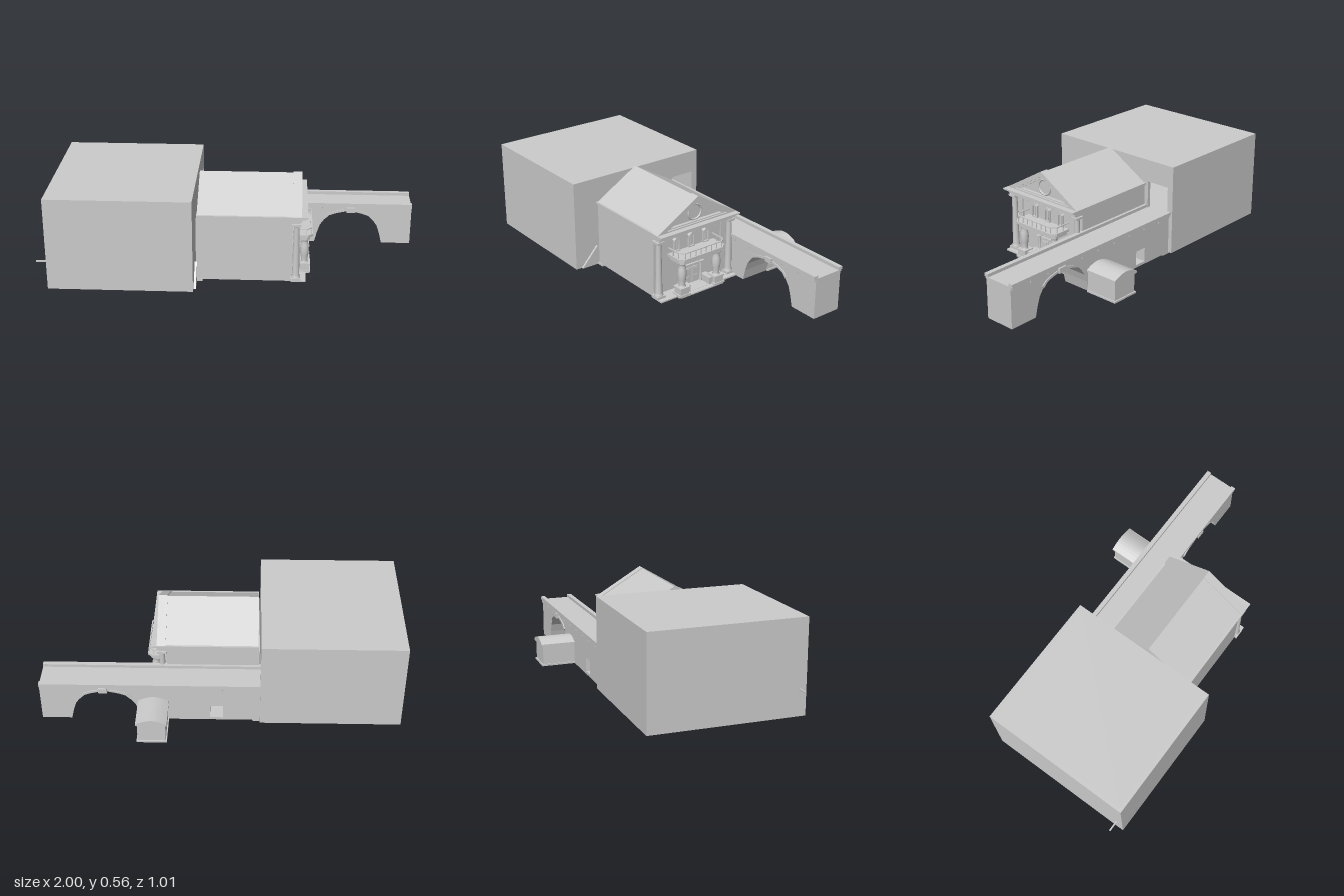
import * as THREE from 'three';

const mat = new THREE.MeshStandardMaterial({ color: 0xcccccc, side: THREE.DoubleSide });
const flat = new THREE.MeshStandardMaterial({ color: 0xcccccc, side: THREE.DoubleSide, flatShading: true });

export function createModel() {
  const model = new THREE.Group();
  const MID = 0.108; // centre line of the temple in z

  function section(name) {
    const g = new THREE.Group();
    g.name = name;
    model.add(g);
    return g;
  }
  function add(parent, name, geo, m = flat) {
    const mesh = new THREE.Mesh(geo, m);
    mesh.name = name;
    parent.add(mesh);
    return mesh;
  }
  // box from its limits along each axis
  function box(parent, name, x0, x1, y0, y1, z0, z1) {
    const g = new THREE.BoxGeometry(x1 - x0, y1 - y0, z1 - z0);
    g.translate((x0 + x1) / 2, (y0 + y1) / 2, (z0 + z1) / 2);
    return add(parent, name, g);
  }
  const toPath = (P, pts, s = 1) => new P(pts.map(([a, b]) => new THREE.Vector2(a * s, b)));
  // [z, y] outline extruded along x
  function prismX(parent, name, pts, x0, x1, holes = []) {
    const s = toPath(THREE.Shape, pts, -1);
    holes.forEach(h => s.holes.push(toPath(THREE.Path, h, -1)));
    const g = new THREE.ExtrudeGeometry(s, { depth: x1 - x0, bevelEnabled: false });
    g.rotateY(Math.PI / 2).translate(x0, 0, 0);
    return add(parent, name, g);
  }
  // [x, y] outline extruded along z
  function prismZ(parent, name, pts, z0, z1, holes = []) {
    const s = toPath(THREE.Shape, pts);
    holes.forEach(h => s.holes.push(toPath(THREE.Path, h)));
    const g = new THREE.ExtrudeGeometry(s, { depth: z1 - z0, bevelEnabled: false });
    g.translate(0, 0, z0);
    return add(parent, name, g);
  }
  // [x, z] outline extruded along y
  function slab(parent, name, pts, y0, y1) {
    const g = new THREE.ExtrudeGeometry(toPath(THREE.Shape, pts), { depth: y1 - y0, bevelEnabled: false });
    g.rotateX(Math.PI / 2).translate(0, y1, 0);
    return add(parent, name, g);
  }
  function lathe(parent, name, profile, x, z) {
    const pts = profile.map(([r, y]) => new THREE.Vector2(r, y));
    add(parent, name, new THREE.LatheGeometry(pts, 20), mat).position.set(x, 0, z);
  }
  const rect = (a0, a1, b0, b1) => [[a0, b0], [a1, b0], [a1, b1], [a0, b1]];

  // Great hall: a hollow block with an opening above the bridge
  const hall = section('hall');
  box(hall, 'hallLeftWall', -0.94, -0.92, 0.03, 0.535, -0.335, 0.503);
  box(hall, 'hallFrontWall', -0.92, -0.2, 0.03, 0.535, 0.483, 0.503);
  box(hall, 'hallBackWall', -0.92, -0.2, 0.03, 0.535, -0.335, -0.315);
  box(hall, 'hallRoof', -0.92, -0.2, 0.52, 0.535, -0.315, 0.483);
  box(hall, 'hallFloor', -0.92, -0.2, 0.03, 0.04, -0.315, 0.483);
  prismX(hall, 'hallTempleWall', rect(-0.335, 0.503, 0.03, 0.535), -0.2, -0.18,
    [rect(-0.3, -0.16, 0.255, 0.41)]);
  box(hall, 'floorPanel', -0.91, -0.14, 0.02, 0.031, -0.31, 0.36);
  box(hall, 'wallRod', -1, -0.94, 0.167, 0.175, 0.461, 0.469);
  prismX(hall, 'cornerWedge', [[0.37, 0.03], [0.47, 0.03], [0.37, 0.14]], -0.18, -0.168);
  for (const z of [0.258, 0.158, 0.055]) box(hall, 'footBlock', -0.195, -0.172, 0, 0.035, z - 0.032, z + 0.032);

  // Temple body, entablature and roof
  const temple = section('temple');
  box(temple, 'templeBody', -0.175, 0.325, 0.03, 0.37, -0.14, 0.355);
  box(temple, 'porchFloor', 0.325, 0.405, 0.03, 0.038, -0.15, 0.366);
  const layers = [[0.36, 0.37, 0.37, 0.245], [0.37, 0.388, 0.38, 0.25], [0.388, 0.395, 0.4, 0.258], [0.395, 0.403, 0.41, 0.262]];
  for (const [y0, y1, x, h] of layers) box(temple, 'entablature', -0.17, x, y0, y1, MID - h, MID + h);
  prismX(temple, 'roof', [[MID - 0.255, 0.4], [MID + 0.255, 0.4], [MID, 0.55]], -0.168, 0.35);
  const tri = (w, y0, y1) => [[MID - w, y0], [MID + w, y0], [MID, y1]];
  prismX(temple, 'pedimentFrame', tri(0.26, 0.402, 0.556), 0.33, 0.378, [tri(0.2, 0.41, 0.527)]);
  prismX(temple, 'pedimentMoulding', tri(0.225, 0.404, 0.537), 0.345, 0.368, [tri(0.17, 0.415, 0.515)]);
  const ring = add(temple, 'roundWindow', new THREE.TorusGeometry(0.042, 0.006, 8, 32), mat);
  ring.rotation.y = Math.PI / 2;
  ring.position.set(0.352, 0.46, MID);
  for (let i = 0; i < 7; i++) box(temple, 'soffitDrop', 0.355, 0.365, 0.352, 0.361, -0.094 + i * 0.0655, -0.086 + i * 0.0655);

  // Corner columns with pilasters behind
  for (const side of [-1, 1]) {
    const z = MID + side * 0.235;
    box(temple, 'columnPlinth', 0.325, 0.378, 0.035, 0.05, z - 0.026, z + 0.026);
    lathe(temple, 'cornerColumn', [[0.024, 0.05], [0.024, 0.057], [0.019, 0.065], [0.018, 0.15], [0.015, 0.34], [0.021, 0.35]], 0.352, z);
    box(temple, 'columnCapital', 0.325, 0.376, 0.348, 0.36, z - 0.022, z + 0.022);
    box(temple, 'pilaster', 0.32, 0.332, 0.038, 0.36, z - side * 0.028 - 0.011, z - side * 0.028 + 0.011);
  }

  // Balcony on swelling columns
  const porch = section('balconyPorch');
  const PZ = 0.111;
  const plan = (x, h, c) => [[0.32, PZ - h], [x - c, PZ - h], [x, PZ - h + c], [x, PZ + h - c], [x - c, PZ + h], [0.32, PZ + h]];
  slab(porch, 'balconyBeam', plan(0.425, 0.138, 0.015), 0.218, 0.24);
  slab(porch, 'balconyDeck', plan(0.44, 0.153, 0.025), 0.24, 0.254);
  slab(porch, 'frontStep', plan(0.43, 0.15, 0.01), 0.03, 0.037);
  // railing follows the deck edge
  const rail = plan(0.432, 0.146, 0.025).map(([x, z]) => new THREE.Vector3(x, 0, z));
  for (let i = 0; i < 5; i++) {
    const a = rail[i], b = rail[i + 1], len = a.distanceTo(b);
    const bar = add(porch, 'handrail', new THREE.BoxGeometry(0.006, 0.005, len + 0.004));
    bar.position.addVectors(a, b).multiplyScalar(0.5).setY(0.286);
    bar.rotation.y = Math.atan2(b.x - a.x, b.z - a.z);
    const n = Math.max(1, Math.round(len / 0.035));
    for (let k = 0; k <= n; k++) {
      const p = a.clone().lerp(b, k / n);
      box(porch, 'railPost', p.x - 0.002, p.x + 0.002, 0.25, 0.286, p.z - 0.002, p.z + 0.002);
    }
  }
  for (const side of [-1, 1]) {
    const z = PZ + side * 0.115;
    box(porch, 'pedestalFoot', 0.365, 0.43, 0.035, 0.045, z - 0.035, z + 0.035);
    box(porch, 'pedestal', 0.37, 0.425, 0.045, 0.075, z - 0.027, z + 0.027);
    box(porch, 'pedestalTop', 0.366, 0.429, 0.075, 0.085, z - 0.032, z + 0.032);
    lathe(porch, 'swellingColumn', [[0.021, 0.085], [0.016, 0.095], [0.021, 0.125], [0.024, 0.155], [0.021, 0.185], [0.016, 0.205], [0.02, 0.212], [0.022, 0.219]], 0.398, z);
    const d = PZ + side * 0.078;
    box(porch, 'stairBlock', 0.34, 0.405, 0.037, 0.072, d - 0.014, d + 0.014);
    box(porch, 'stairBlockCap', 0.337, 0.408, 0.072, 0.078, d - 0.017, d + 0.017);
    const j = PZ + side * 0.058;
    lathe(porch, 'doorColumn', [[0.009, 0.037], [0.007, 0.05], [0.006, 0.148], [0.01, 0.155]], 0.338, j);
    box(porch, 'doorColumnCap', 0.32, 0.352, 0.154, 0.161, j - 0.014, j + 0.014);
    // door leaf with two raised panels and a light above
    const c = PZ + side * 0.025;
    box(porch, 'doorLeaf', 0.32, 0.33, 0.038, 0.13, c - 0.022, c + 0.022);
    for (const y of [0.046, 0.09]) box(porch, 'doorPanel', 0.328, 0.334, y, y + 0.034, c - 0.014, c + 0.014);
  }
  for (const k of [-1, 0, 1]) box(porch, 'transomLight', 0.32, 0.332, 0.137, 0.148, PZ + k * 0.031 - 0.012, PZ + k * 0.031 + 0.012);
  box(porch, 'doorLintel', 0.32, 0.342, 0.15, 0.156, PZ - 0.06, PZ + 0.06);

  // Upper windows with small gables
  for (const k of [-1, 0, 1]) {
    const z = PZ + k * 0.097;
    prismX(porch, 'upperWindowFrame', rect(z - 0.02, z + 0.02, 0.254, 0.326), 0.32, 0.336, [rect(z - 0.014, z + 0.014, 0.26, 0.32)]);
    box(porch, 'windowBar', 0.32, 0.33, 0.26, 0.32, z - 0.002, z + 0.002);
    prismX(porch, 'windowGable', [[z - 0.025, 0.326], [z + 0.025, 0.326], [z, 0.35]], 0.32, 0.345);
  }

  // Bridge with a shouldered arch, parapets and a small window
  const bridge = section('bridge');
  const AX = 0.65;
  const half = [[0.19, 0.03], [0.175, 0.09], [0.16, 0.135], [0.135, 0.17], [0.11, 0.195], [0.075, 0.208], [0.035, 0.217]];
  const arch = [...half.map(([x, y]) => [AX - x, y]), [AX, 0.225], ...half.slice().reverse().map(([x, y]) => [AX + x, y])];
  prismZ(bridge, 'archedWall', [[-0.18, 0.03], ...arch, [1, 0.03], [1, 0.255], [-0.18, 0.255]], -0.312, -0.143,
    [rect(0.02, 0.09, 0.045, 0.125)]);
  const trim = [...arch.slice(3, -3), ...arch.slice(3, -3).reverse().map(([x, y]) => [AX + (x - AX) * 1.06, y + 0.012])];
  for (const [zf, s] of [[-0.143, 1], [-0.312, -1]]) {
    const span = (a, b) => [zf + s * a, zf + s * b].sort((p, q) => p - q);
    prismZ(bridge, 'archTrim', trim, ...span(-0.002, 0.005));
    box(bridge, 'keystone', 0.637, 0.683, 0.215, 0.243, ...span(0, 0.014));
    box(bridge, 'cornice', -0.18, 1, 0.246, 0.26, ...span(-0.005, 0.008));
    box(bridge, 'parapet', -0.18, 1, 0.255, 0.272, ...span(-0.012, 0.013));
    for (let x = -0.1; x < 1; x += 0.12) box(bridge, 'bracket', x, x + 0.014, 0.235, 0.247, ...span(0, 0.008));
  }

  // Booth behind the bridge with a shallow arched roof
  const booth = section('booth');
  box(booth, 'boothWalls', 0.318, 0.467, 0.03, 0.148, -0.496, -0.31);
  box(booth, 'boothFoot', 0.312, 0.473, 0.03, 0.04, -0.503, -0.31);
  const roof = [[0.31, 0.145], [0.475, 0.145]];
  for (let i = 0; i <= 10; i++) roof.push([0.475 - 0.0165 * i, 0.157 + 0.025 * Math.sin(Math.PI * i / 10)]);
  prismZ(booth, 'boothRoof', roof, -0.505, -0.31);

  return model;
}
